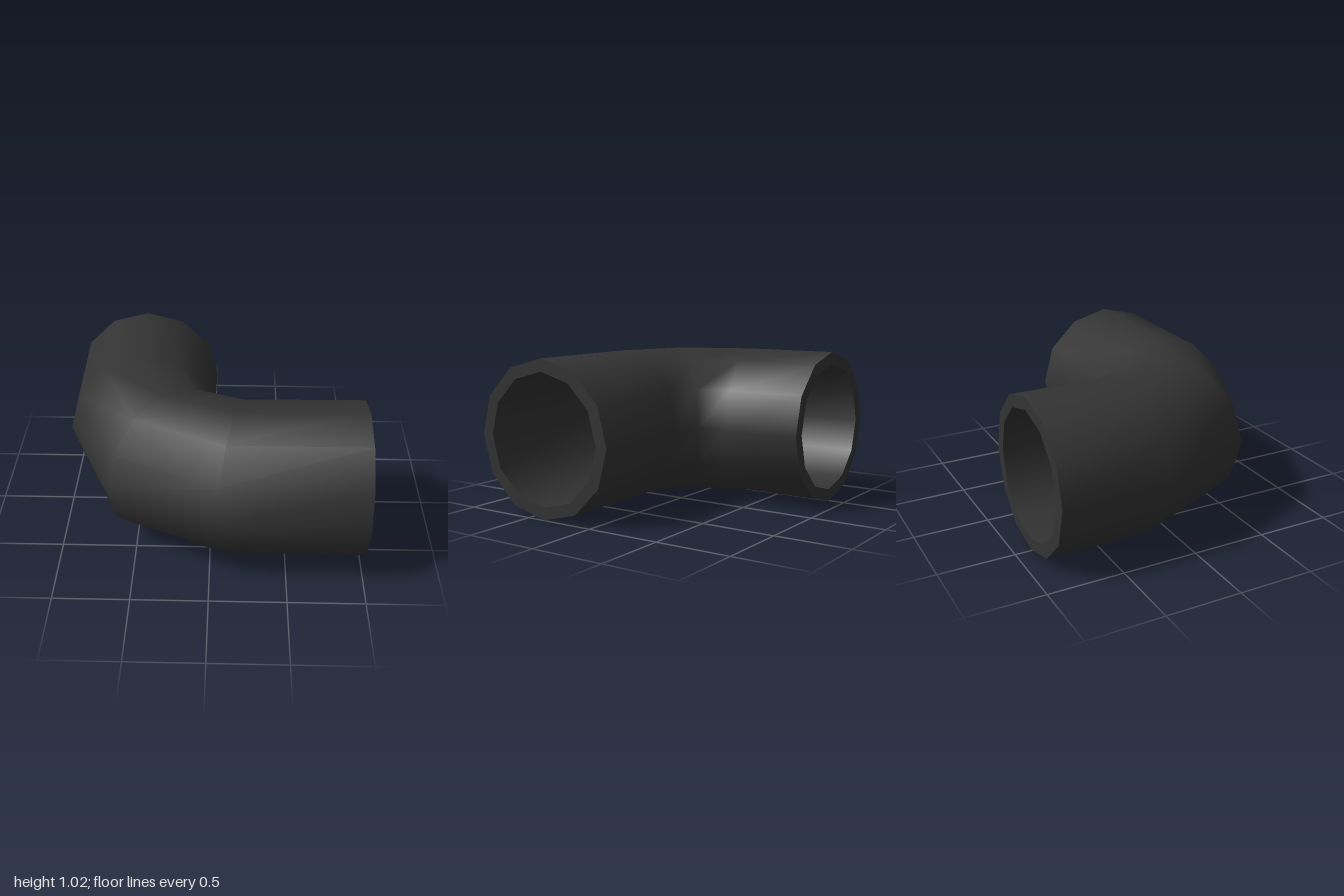
import * as THREE from 'three';

const SIDES = 12, RADIUS = 0.512, BORE = 0.84;

// Cross-sections along the elbow: centre x, z and the vector to the outside of the bend
const sections = [
  { c: [1.0, 0.37], out: [0.0, 0.512] },
  { c: [0.15, 0.373], out: [-0.1, 0.502] },
  { c: [-0.305, 0.185], out: [-0.36, 0.36] },
  { c: [-0.49, -0.262], out: [-0.5, 0.1] },
  { c: [-0.49, -0.89], out: [-0.51, 0.0] },
];

// Smooth skin through a list of [section, scale] rings
function loft(rings) {
  const pos = [], index = [];
  for (const [{ c, out }, s] of rings) {
    for (let j = 0; j < SIDES; j++) {
      const a = (j / SIDES) * Math.PI * 2, k = s * Math.cos(a);
      pos.push(c[0] + out[0] * k, RADIUS + RADIUS * s * Math.sin(a), c[1] + out[1] * k);
    }
  }
  for (let i = 0; i < rings.length - 1; i++) {
    for (let j = 0; j < SIDES; j++) {
      const n = (j + 1) % SIDES;
      const a = i * SIDES + j, b = i * SIDES + n;
      index.push(a, b, a + SIDES, b, b + SIDES, a + SIDES);
    }
  }
  const geo = new THREE.BufferGeometry();
  geo.setAttribute('position', new THREE.Float32BufferAttribute(pos, 3));
  geo.setIndex(index);
  geo.computeVertexNormals();
  return geo;
}

export function createModel() {
  const group = new THREE.Group();
  group.name = 'pipeElbow';
  const material = new THREE.MeshStandardMaterial({ color: 0x333333 });
  const first = sections[0], last = sections[sections.length - 1];
  const add = (name, rings) => {
    const mesh = new THREE.Mesh(loft(rings), material);
    mesh.name = name;
    group.add(mesh);
  };

  // Outer and inner walls
  add('outerWall', sections.map((s) => [s, 1]));
  add('innerWall', [...sections].reverse().map((s) => [s, BORE]));

  // Flat rims closing the wall thickness at both mouths
  add('leftRim', [[first, BORE], [first, 1]]);
  add('backRim', [[last, 1], [last, BORE]]);
  return group;
}
